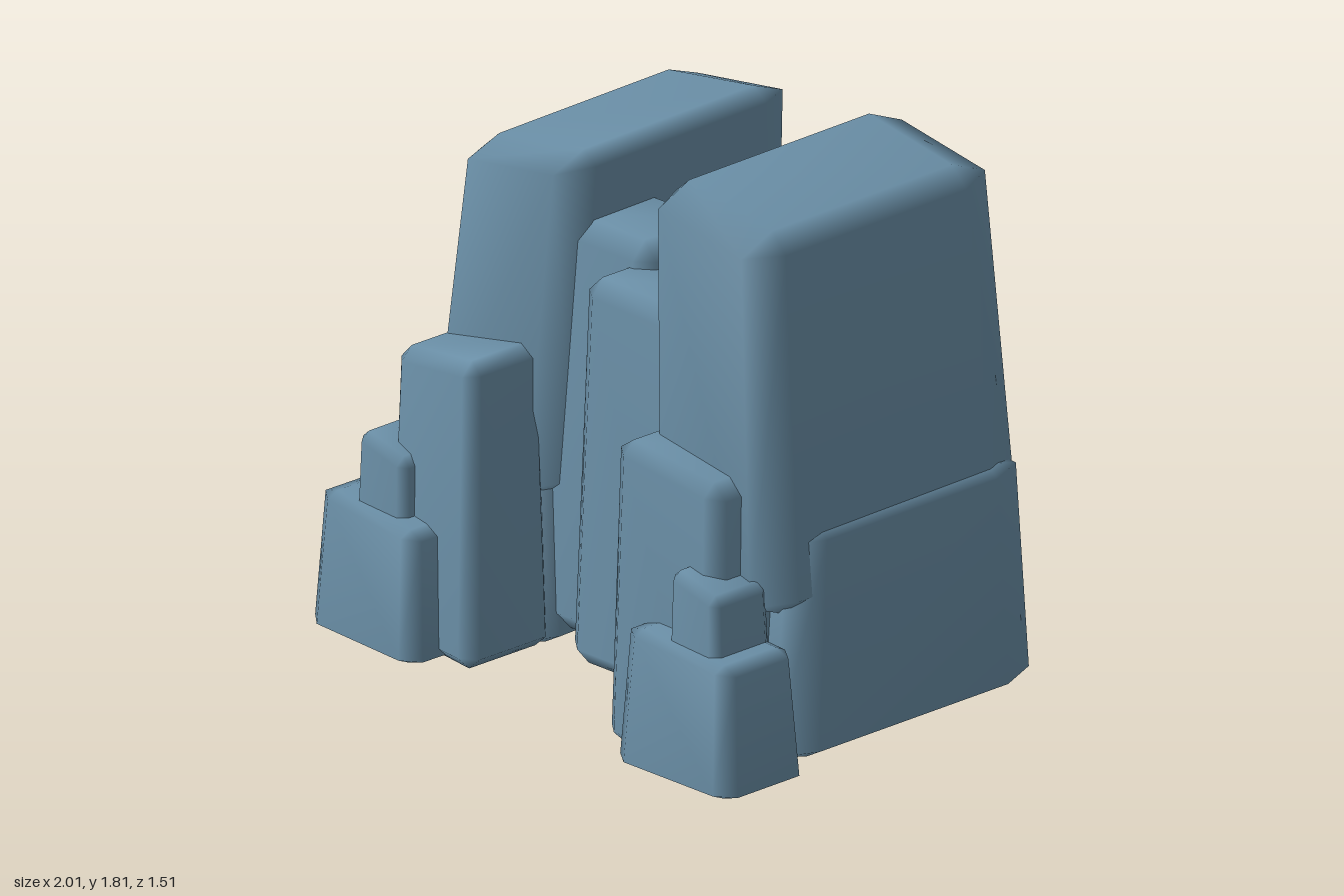
import * as THREE from 'three';
import { ConvexGeometry } from 'three/addons/geometries/ConvexGeometry.js';
import { mergeVertices } from 'three/addons/utils/BufferGeometryUtils.js';

const stone = new THREE.MeshStandardMaterial({ color: 0x6b90a8 });
stone.name = 'blue grey stone';

// Chamfer as a fraction of the block's width, height and depth
const BEVEL = [0.12, 0.045, 0.13];

// Tapered, chamfered block.
// base and top: [xMin, xMax, zMin, zMax, y]; slope: rise of the top along x;
// yaw: shift of x along z; skew: shift of z along x.
function block(name, base, top, { slope = 0, yaw = 0, skew = 0 } = {}) {
  const lerp = THREE.MathUtils.lerp;
  const place = (u, v, w) => {
    const [x0, x1, z0, z1] = [0, 1, 2, 3].map((i) => lerp(base[i], top[i], v));
    const dx = (u - 0.5) * (x1 - x0);
    const dz = (w - 0.5) * (z1 - z0);
    return new THREE.Vector3(
      (x0 + x1) / 2 + dx + yaw * dz,
      lerp(base[4], top[4] + slope * dx, v),
      (z0 + z1) / 2 + dz + skew * dx
    );
  };
  // Each corner is cut into three points, one on each adjoining face
  const points = [];
  for (let corner = 0; corner < 8; corner++) {
    for (let face = 0; face < 3; face++) {
      const c = [0, 1, 2].map((axis) => {
        const inset = axis === face ? 0 : BEVEL[axis];
        return (corner >> axis) & 1 ? 1 - inset : inset;
      });
      points.push(place(...c));
    }
  }
  // Weld the hull so that the shading runs smoothly over the chamfers
  let geometry = new ConvexGeometry(points);
  geometry.deleteAttribute('normal');
  geometry = mergeVertices(geometry, 1e-5);
  geometry.computeVertexNormals();
  const mesh = new THREE.Mesh(geometry, stone);
  mesh.name = name;
  return mesh;
}

export function createModel() {
  const group = new THREE.Group();
  group.name = 'rockFormation';
  group.add(
    // Tall upper slabs
    block('leftTallSlab', [0.35, 0.87, -0.66, 0.5, 0.5], [0.3, 0.78, -0.59, 0.46, 1.785],
      { slope: -0.18, yaw: 0.05, skew: -0.06 }),
    block('rightTallSlab', [-0.87, -0.35, -0.73, 0.37, 0.5], [-0.74, -0.27, -0.68, 0.32, 1.645],
      { slope: 0.13, yaw: 0.06, skew: -0.1 }),

    // Broad slabs underneath
    block('leftBaseSlab', [0.37, 0.9, -0.7, 0.4, 0.01], [0.4, 0.88, -0.65, 0.33, 0.77],
      { yaw: 0.04, skew: 0.06 }),
    block('rightBaseSlab', [-0.89, -0.36, -0.66, 0.4, 0.01], [-0.87, -0.4, -0.62, 0.34, 0.77],
      { yaw: 0.08, skew: -0.04 }),

    // Two pillars between the slabs
    block('rightMiddlePillar', [-0.45, 0.05, -0.19, 0.25, 0.06], [-0.41, 0.02, -0.15, 0.21, 1.44],
      { yaw: -0.06, skew: -0.06 }),
    block('leftMiddlePillar', [-0.15, 0.38, -0.01, 0.39, 0.06], [-0.11, 0.36, 0.03, 0.35, 1.35],
      { slope: -0.03, yaw: 0.03, skew: -0.05 }),

    // Front pillars
    block('leftFrontPillar', [0.33, 0.8, 0.25, 0.64, 0.01], [0.35, 0.78, 0.28, 0.61, 0.995],
      { slope: -0.17, yaw: 0.03, skew: -0.13 }),
    block('rightFrontPillar', [-0.8, -0.33, 0.23, 0.61, 0.01], [-0.78, -0.36, 0.26, 0.57, 1.0],
      { slope: 0.17, yaw: 0.03, skew: 0.1 }),

    // Small stones against the pillars
    block('leftSmallStone', [0.65, 0.89, 0.41, 0.69, 0.02], [0.66, 0.86, 0.43, 0.67, 0.665],
      { slope: -0.28, yaw: 0.04, skew: -0.06 }),
    block('rightSmallStone', [-0.86, -0.62, 0.37, 0.66, 0.02], [-0.84, -0.64, 0.4, 0.64, 0.665],
      { slope: -0.28, yaw: 0.04, skew: -0.06 }),

    // Low blocks in front
    block('leftLowBlock', [0.48, 1.0, 0.39, 0.75, 0.01], [0.51, 0.97, 0.42, 0.72, 0.455],
      { slope: -0.07, yaw: 0.04, skew: -0.06 }),
    block('rightLowBlock', [-1.0, -0.48, 0.36, 0.73, 0.01], [-0.97, -0.51, 0.39, 0.7, 0.455],
      { slope: -0.07, yaw: 0.02, skew: 0.02 })
  );
  return group;
}
